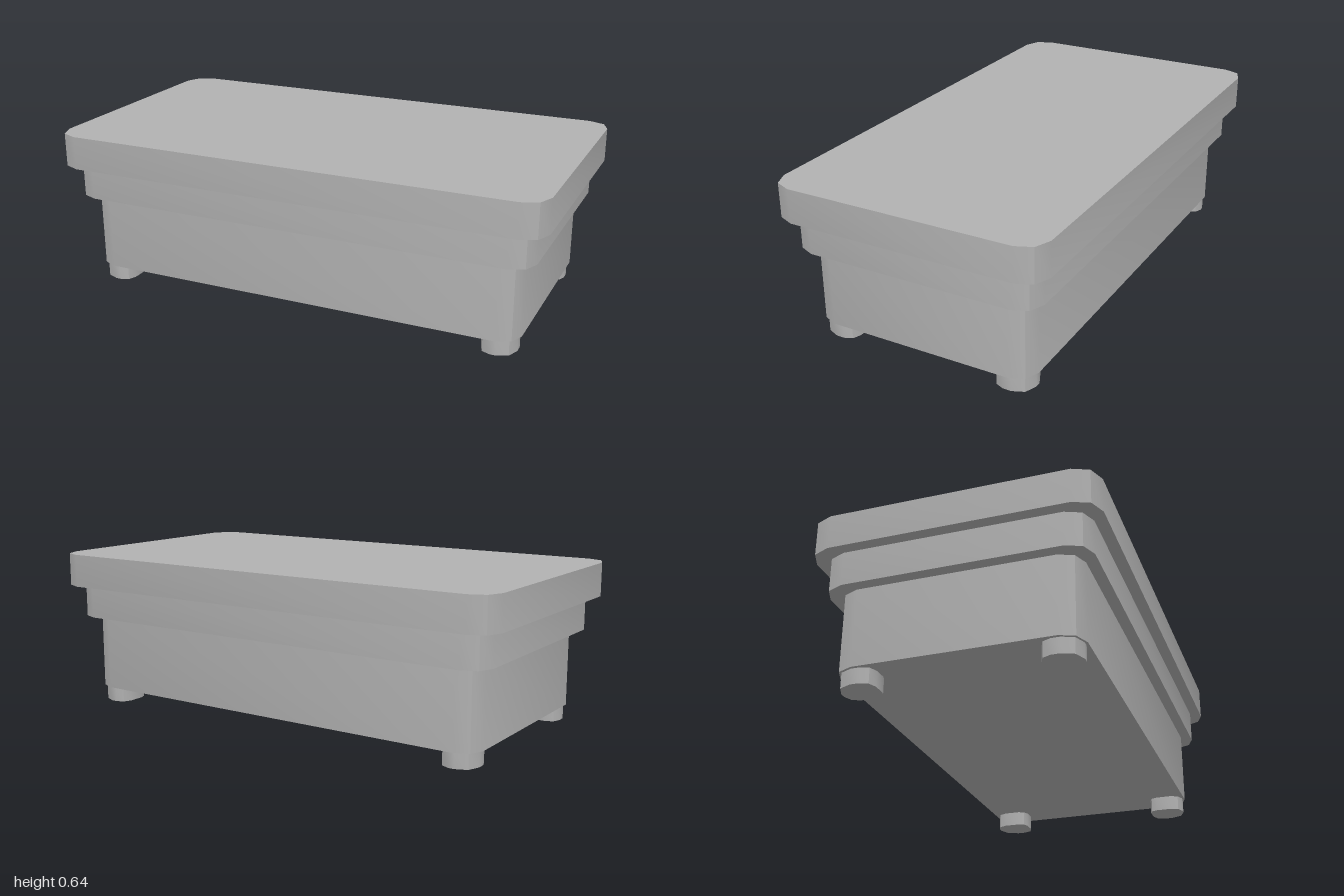
import * as THREE from 'three';
import { toCreasedNormals } from 'three/addons/utils/BufferGeometryUtils.js';

// Upright slab with two-segment rounded corners; radii run counterclockwise from (+x, -z)
function roundedSlab(halfX, halfZ, height, radii) {
  const signs = [[1, 1], [-1, 1], [-1, -1], [1, -1]];
  const points = [];
  signs.forEach(([sx, sy], corner) => {
    const r = radii[corner];
    for (let i = 0; i <= 2; i++) {
      const a = (corner + i / 2) * Math.PI / 2;
      points.push(new THREE.Vector2(
        sx * (halfX - r) + r * Math.cos(a),
        sy * (halfZ - r) + r * Math.sin(a)
      ));
    }
  });
  const geometry = new THREE.ExtrudeGeometry(new THREE.Shape(points), { depth: height, bevelEnabled: false });
  geometry.rotateX(-Math.PI / 2);
  return toCreasedNormals(geometry, 0.6);
}

export function createModel() {
  const group = new THREE.Group();
  const grey = new THREE.MeshStandardMaterial({ color: 0xb2b2b2 });
  grey.name = 'grey';

  function add(name, geometry, x, y, z) {
    const mesh = new THREE.Mesh(geometry, grey);
    mesh.name = name;
    mesh.position.set(x, y, z);
    group.add(mesh);
  }

  // Three stacked tiers: name, half width, half depth, bottom, top, corner radius
  const tiers = [
    ['body', 0.906, 0.455, 0.061, 0.369, 0.08],
    ['middleTier', 0.953, 0.499, 0.369, 0.503, 0.085],
    ['topSlab', 1, 0.544, 0.503, 0.638, 0.09],
  ];
  for (const [name, hx, hz, y0, y1, r] of tiers) {
    add(name, roundedSlab(hx, hz, y1 - y0, [r, r, r, r]), 0, y0, 0);
  }

  // Four feet, each with its roundest corner facing outward
  const corners = [[1, -1, 'BackLeft'], [-1, -1, 'BackRight'], [-1, 1, 'FrontRight'], [1, 1, 'FrontLeft']];
  corners.forEach(([sx, sz, label], outer) => {
    const radii = [0, 1, 2, 3].map((c) => (c === outer ? 0.065 : c === (outer + 2) % 4 ? 0.035 : 0.045));
    add('foot' + label, roundedSlab(0.066, 0.072, 0.061, radii), sx * 0.827, 0, sz * 0.373);
  });

  return group;
}
